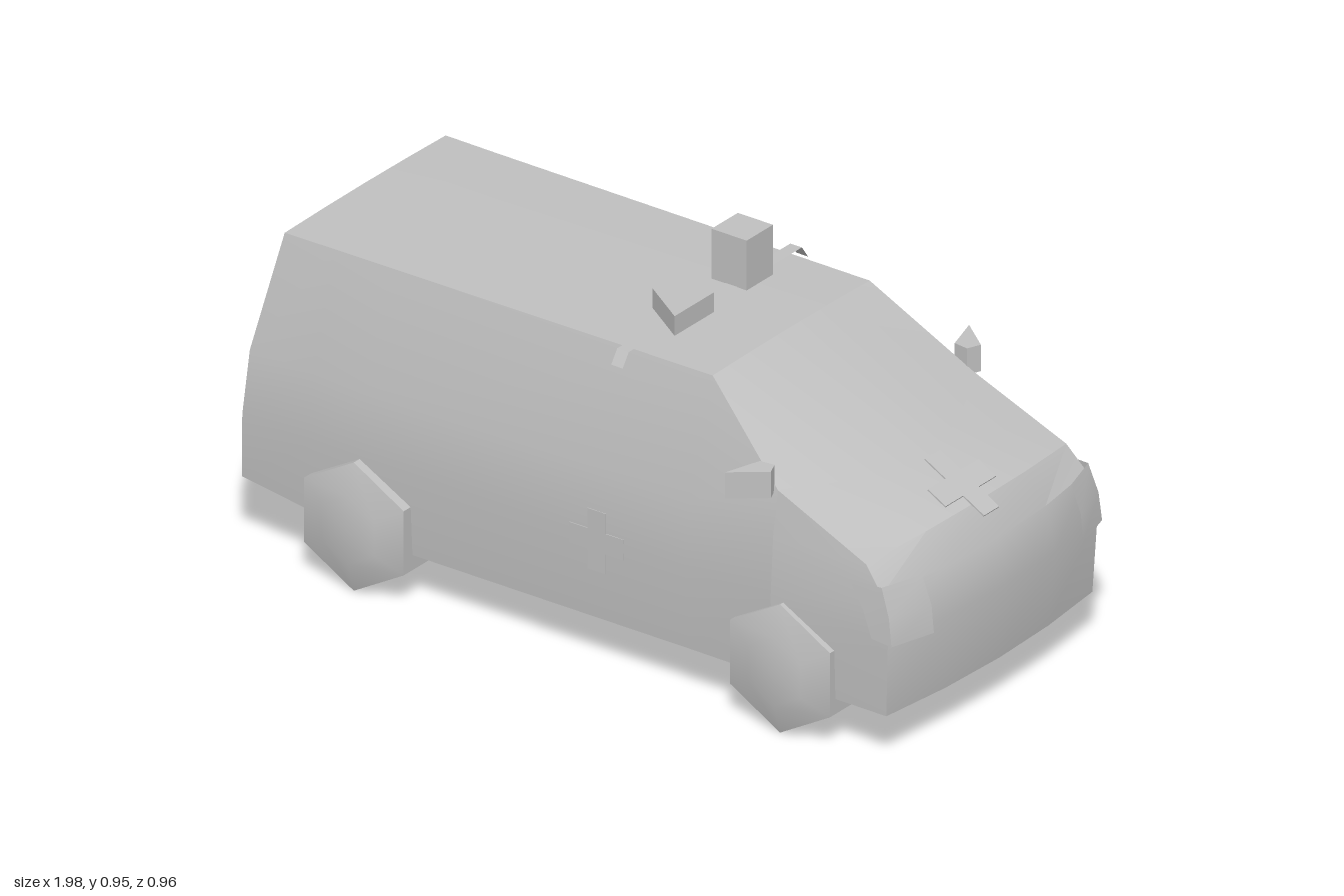
import * as THREE from 'three';
import { mergeGeometries, toCreasedNormals } from 'three/addons/utils/BufferGeometryUtils.js';

const paint = new THREE.MeshStandardMaterial({ color: 0xc0c0c0, side: THREE.DoubleSide });
paint.name = 'plain grey';

// Surface through a grid of points P[i][j]
function grid(P) {
  const pos = [];
  for (let i = 0; i < P.length - 1; i++) {
    for (let j = 0; j < P[i].length - 1; j++) {
      const a = P[i][j], b = P[i + 1][j], c = P[i + 1][j + 1], d = P[i][j + 1];
      pos.push(...a, ...b, ...c, ...a, ...c, ...d);
    }
  }
  const g = new THREE.BufferGeometry();
  g.setAttribute('position', new THREE.Float32BufferAttribute(pos, 3));
  return g;
}

// Point across the car at t (1 = left edge, -1 = right edge), bowed towards the middle
const bow = ([x, y, z, bx = 0, by = 0], t) => [x + bx * (1 - t * t), y + by * (1 - t * t), z * t];

// Each station: bottom edge, lower side, belt line, top edge as [x, y, z, bowX, bowY]
const stations = [
  [[-0.973, 0.18, 0.4, -0.006], [-0.966, 0.35, 0.408, -0.008], [-0.952, 0.52, 0.397, -0.008], [-0.908, 0.812, 0.318, 0, 0.004]],
  [[-0.76, 0.15, 0.402], [-0.76, 0.34, 0.413], [-0.76, 0.52, 0.4], [-0.76, 0.812, 0.316, 0, 0.004]],
  [[-0.6, 0.125, 0.402], [-0.6, 0.34, 0.414], [-0.6, 0.52, 0.402], [-0.6, 0.812, 0.315, 0, 0.004]],
  [[0.35, 0.125, 0.402], [0.35, 0.34, 0.415], [0.35, 0.52, 0.403], [0.35, 0.812, 0.31, 0, 0.004]],
  [[0.6, 0.125, 0.405], [0.6, 0.34, 0.416], [0.6, 0.5, 0.406], [0.6, 0.615, 0.387, 0.14, -0.022]],
  [[0.935, 0.125, 0.407, 0.03], [0.945, 0.325, 0.414, 0.04], [0.92, 0.44, 0.405, 0.04], [0.867, 0.502, 0.395, 0.038, 0.022]],
];

// Open-bottomed shell, with a crease where the windscreen meets the hood
function bodyGeometry() {
  const rings = stations.map(([low, side, belt, top]) => [
    ...[low, side, belt].map((p) => bow(p, 1)),
    ...[1, 0.5, 0, -0.5, -1].map((t) => bow(top, t)),
    ...[belt, side, low].map((p) => bow(p, -1)),
  ]);
  const cap = (s, sign) => grid([1, 0.5, 0, -0.5, -1].map((t) => s.map((p) => bow(p, t * sign))));
  const rear = mergeGeometries([grid(rings.slice(0, 5)), cap(stations[0], -1)]);
  const nose = mergeGeometries([grid(rings.slice(4)), cap(stations[5], 1)]);
  return mergeGeometries([rear, nose].map((g) => toCreasedNormals(g, 0.45)));
}

// Flat cross lying in XY, thin along Z
function crossGeometry(r, w, depth) {
  const pts = [[w, r], [w, w], [r, w], [r, -w], [w, -w], [w, -r], [-w, -r], [-w, -w], [-r, -w], [-r, w], [-w, w], [-w, r]];
  const shape = new THREE.Shape(pts.map((p) => new THREE.Vector2(...p)));
  return new THREE.ExtrudeGeometry(shape, { depth, bevelEnabled: false });
}

// Plan outline given as [x, z] pairs, raised from y0 to y1
function planPrism(pts, y0, y1) {
  const shape = new THREE.Shape(pts.map(([x, z]) => new THREE.Vector2(x, -z)));
  const g = new THREE.ExtrudeGeometry(shape, { depth: y1 - y0, bevelEnabled: false });
  return g.rotateX(-Math.PI / 2).translate(0, y0, 0);
}

export function createModel() {
  const group = new THREE.Group();
  const add = (name, geometry, x = 0, y = 0, z = 0) => {
    const m = new THREE.Mesh(geometry, paint);
    m.name = name;
    m.position.set(x, y, z);
    group.add(m);
    return m;
  };
  const box = (w, h, d) => new THREE.BoxGeometry(w, h, d);

  add('body', bodyGeometry());

  // Hollow six-sided wheels with a domed outer face
  const profile = [[0.17, 0.268], [0.17, 0.428], [0.09, 0.452], [0, 0.454]]
    .map((p) => new THREE.Vector2(...p));
  const wheel = toCreasedNormals(new THREE.LatheGeometry(profile, 6).rotateX(Math.PI / 2), 0.5);
  for (const side of [1, -1]) {
    const label = side > 0 ? 'left' : 'right';
    for (const [end, x, out] of [['rear', -0.615, 0.009], ['front', 0.637, 0]]) {
      const m = add(`${end} ${label} wheel`, wheel, x, 0.17, out * side);
      if (side < 0) m.rotation.y = Math.PI;
    }

    // Wedge door mirrors
    const mirror = [[0.515, 0.482], [0.6, 0.415], [0.585, 0.38], [0.545, 0.385]].map(([x, z]) => [x, z * side]);
    add(`${label} mirror`, planPrism(mirror, 0.605, 0.675));

    // Headlight panels wrapped around the nose corners
    const lamp = [
      [[0.992, 0.318, 0.295], [0.985, 0.39, 0.295], [0.957, 0.462, 0.295]],
      [[0.957, 0.318, 0.416], [0.948, 0.39, 0.414], [0.922, 0.462, 0.408]],
      [[0.9, 0.325, 0.419], [0.875, 0.39, 0.417], [0.83, 0.46, 0.413]],
    ].map((col) => col.map(([x, y, z]) => [x, y, z * side]));
    if (side > 0) lamp.reverse();
    add(`${label} headlight`, toCreasedNormals(grid(lamp), 0.5));

    // Tail lights
    const tail = add(`${label} tail light`, box(0.008, 0.19, 0.08), -0.968, 0.42, 0.335 * side);
    tail.rotation.z = -0.085;

    // Side crosses, almost flush with the doors
    add(`${label} side cross`, crossGeometry(0.08, 0.027, 0.002), 0.085, 0.335, side > 0 ? 0.413 : -0.415);
  }

  // Cross on the hood
  const hoodCross = add('hood cross', crossGeometry(0.1, 0.03, 0.004).rotateX(-Math.PI / 2), 0.853, 0.552, 0);
  hoodCross.rotation.z = -0.51;

  // Number plate panel at the back
  add('rear plate', box(0.009, 0.08, 0.38), -0.979, 0.26, 0.005);

  // Thin roof bar strip bent over the roof edges
  const strip = [[-0.366, 0.785], [-0.342, 0.819], [0.342, 0.819], [0.366, 0.785]];
  add('roof bar', toCreasedNormals(grid([0.092, 0.126].map((x) => strip.map(([z, y]) => [x, y, -z]))), 0.5));

  // Beacon and horn on the bar
  add('beacon', box(0.104, 0.132, 0.104), 0.103, 0.884, -0.137);
  add('horn', planPrism([[0.042, 0.086], [0.042, 0.135], [0.17, 0.22], [0.17, 0.064]], 0.826, 0.878));

  // The whole van stands turned very slightly
  const model = new THREE.Group();
  model.name = 'van';
  group.rotation.y = 0.017;
  group.position.z = 0.006;
  model.add(group);
  return model;
}
